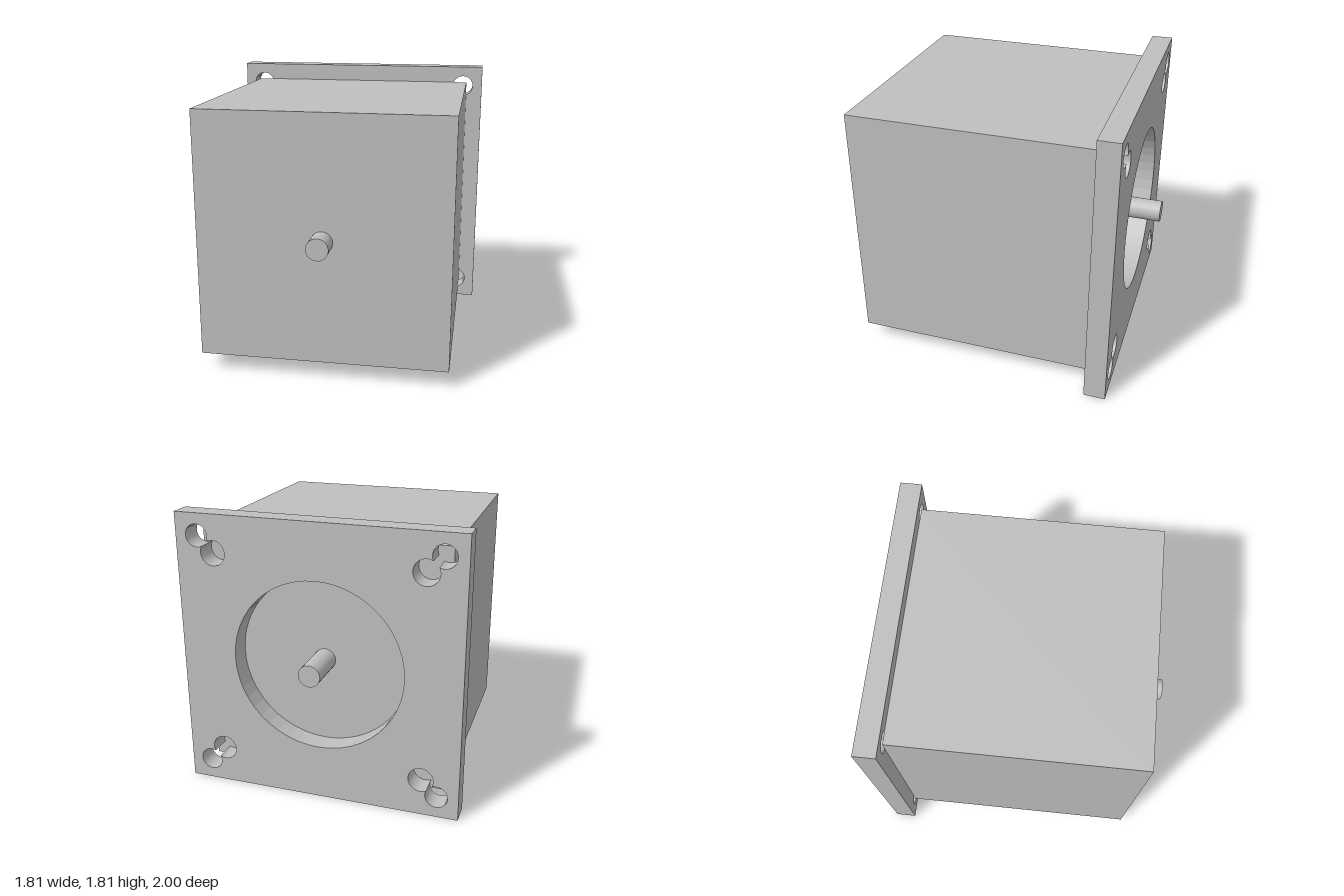
import * as THREE from 'three';

const CY = 0.907;          // height of the shaft axis
const BACK = -0.86;        // rear face of the mounting plate
const PLATE = 0.14;        // plate thickness
const FRONT = 0.86;        // front face of the body

// Two overlapping round holes on a corner diagonal, as one outline
function doubleHole(angle) {
  const inner = 0.665, outer = 0.767, R = 0.08, r = 0.072;
  const d = (outer - inner) * Math.SQRT2;
  const a = (d * d + R * R - r * r) / (2 * d);
  const alpha = Math.acos(a / R), beta = Math.acos((d - a) / r);
  const sx = Math.sign(Math.cos(angle)), sy = Math.sign(Math.sin(angle));
  const path = new THREE.Path();
  path.absarc(sx * inner, sy * inner, R, angle + alpha, angle + 2 * Math.PI - alpha, false);
  path.absarc(sx * outer, sy * outer, r, angle + Math.PI + beta, angle + 3 * Math.PI - beta, false);
  path.closePath();
  return path;
}

export function createModel() {
  const group = new THREE.Group();
  const metal = new THREE.MeshStandardMaterial({ color: 0xbfbfbf });
  metal.name = 'grey metal';

  const add = (name, geometry, y, z) => {
    const mesh = new THREE.Mesh(geometry, metal);
    mesh.name = name;
    mesh.position.set(0, y, z);
    group.add(mesh);
  };

  // Square housing
  const bodyBack = BACK + PLATE;
  add('body', new THREE.BoxGeometry(1.586, 1.586, FRONT - bodyBack), CY, (FRONT + bodyBack) / 2);

  // Mounting plate with a round recess and paired corner holes
  const h = CY;
  const shape = new THREE.Shape([
    new THREE.Vector2(-h, -h), new THREE.Vector2(h, -h),
    new THREE.Vector2(h, h), new THREE.Vector2(-h, h),
  ]);
  shape.holes.push(new THREE.Path().absarc(0, 0, 0.55, 0, Math.PI * 2, false));
  for (let i = 0; i < 4; i++) shape.holes.push(doubleHole(Math.PI / 4 + i * Math.PI / 2));
  add('mountingPlate', new THREE.ExtrudeGeometry(shape, {
    depth: PLATE, bevelEnabled: false, curveSegments: 24,
  }), CY, BACK);

  // Shaft stubs at the front and the rear
  const stub = (name, z0, z1) => {
    const geometry = new THREE.CylinderGeometry(0.07, 0.07, z1 - z0, 32).rotateX(Math.PI / 2);
    add(name, geometry, CY, (z0 + z1) / 2);
  };
  stub('frontShaft', FRONT, 1);
  stub('rearShaft', -1, bodyBack);

  return group;
}
